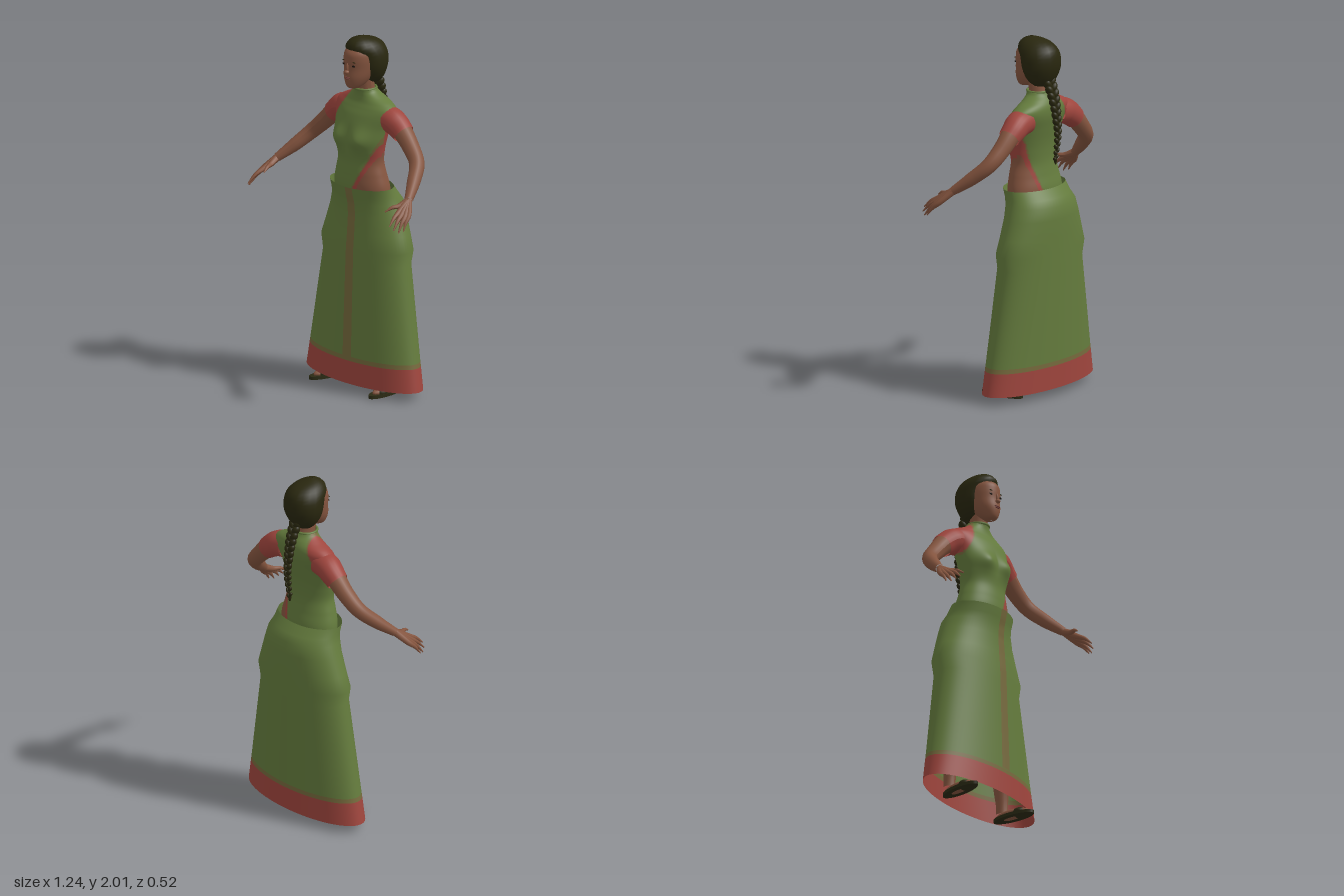
import * as THREE from 'three';

const mat = (name, color, side = THREE.FrontSide) => {
  const m = new THREE.MeshStandardMaterial({ color, side });
  m.name = name;
  return m;
};

// Closed loft through oval rings [y, halfWidth, zFront, zBack], listed bottom to top.
function loft(rings, { seg = 32, rows = 0, warp, paint } = {}) {
  const v = (r, k) => new THREE.Vector3(r[0], r[1], r[k]);
  const front = new THREE.CatmullRomCurve3(rings.map(r => v(r, 2)), false, 'catmullrom', 0.5);
  const back = new THREE.CatmullRomCurve3(rings.map(r => v(r, 3)), false, 'catmullrom', 0.5);
  const n = rows || rings.length - 1;
  const pts = [];
  for (let j = 0; j <= n; j++) {
    const f = front.getPoint(j / n), b = back.getPoint(j / n);
    for (let i = 0; i < seg; i++) {
      const a = i / seg * Math.PI * 2;
      const p = new THREE.Vector3(f.y * Math.sin(a), f.x, (f.z + b.z) / 2 + (f.z - b.z) / 2 * Math.cos(a));
      if (warp) warp(p);
      pts.push(p);
    }
  }
  // Faces are sorted into one bucket per paint index
  const buckets = [[], [], [], []];
  for (let j = 0; j < n; j++) for (let i = 0; i < seg; i++) {
    const a = j * seg + i, b = j * seg + (i + 1) % seg, c = b + seg, d = a + seg;
    const mid = pts[a].clone().add(pts[c]).multiplyScalar(0.5);
    buckets[paint ? paint(mid) : 0].push(a, b, c, a, c, d);
  }
  const g = new THREE.BufferGeometry().setFromPoints(pts);
  g.setIndex(buckets.flat());
  if (paint) {
    let start = 0;
    buckets.forEach((l, k) => { if (l.length) g.addGroup(start, l.length, k); start += l.length; });
  }
  g.computeVertexNormals();
  return g;
}

// Tapered tube through points [x, y, z, radius]; s mirrors it across x.
function limb(points, s = 1, n = 20, seg = 14) {
  const curve = new THREE.CatmullRomCurve3(points.map(p => new THREE.Vector3(p[0] * s, p[1], p[2])));
  const g = new THREE.TubeGeometry(curve, n, 1, seg);
  const pos = g.attributes.position, q = new THREE.Vector3();
  for (let i = 0; i <= n; i++) {
    const c = curve.getPointAt(i / n);
    const t = curve.getUtoTmapping(i / n) * (points.length - 1);
    const k = Math.min(Math.floor(t), points.length - 2);
    const r = THREE.MathUtils.lerp(points[k][3], points[k + 1][3], t - k);
    for (let j = 0; j <= seg; j++) {
      const id = i * (seg + 1) + j;
      q.fromBufferAttribute(pos, id).sub(c).multiplyScalar(r).add(c);
      pos.setXYZ(id, q.x, q.y, q.z);
    }
  }
  g.computeVertexNormals();
  return g;
}

export function createModel() {
  const D = THREE.DoubleSide;
  const green = mat('green cloth', 0x647b3d, D), red = mat('red cloth', 0x9e453d, D);
  const olive = mat('olive trim', 0x75693c, D), skin = mat('skin', 0x85553f);
  const hair = mat('dark hair', 0x29270f, D), sole = mat('dark leather', 0x2b2a14);
  const lip = mat('lips', 0x74403a), eyeDark = mat('eye', 0x1c1510);

  const model = new THREE.Group();
  const add = (name, geo, m, parent = model) => {
    const mesh = new THREE.Mesh(geo, m);
    mesh.name = name;
    parent.add(mesh);
    return mesh;
  };
  const ball = (name, m, p, s, parent) => {
    const b = add(name, new THREE.SphereGeometry(1, 20, 14), m, parent);
    b.position.set(...p);
    b.scale.set(...s);
    return b;
  };

  // Skirt: red hem, olive line and long green body
  const hem = [0.04, 0.435, 0.09, -0.25], hemTop = [0.17, 0.411, 0.086, -0.252], line = [0.195, 0.406, 0.085, -0.252];
  const body = [line, [0.73, 0.31, 0.067, -0.26], [0.81, 0.33, 0.064, -0.261], [0.9, 0.297, 0.056, -0.262],
    [1.0, 0.26, 0.05, -0.263], [1.07, 0.235, 0.055, -0.258], [1.11, 0.219, 0.066, -0.23], [1.16, 0.216, 0.076, -0.19]];
  add('skirtHem', loft([hem, hemTop], { seg: 64 }), red);
  add('skirtTrim', loft([hemTop, line], { seg: 64 }), olive);
  add('skirt', loft(body, { seg: 64 }), green);

  // Front pleat stripe laid on the skirt
  const stripe = new THREE.PlaneGeometry(1, 1, 4, 60), sp = stripe.attributes.position;
  for (let i = 0; i < sp.count; i++) {
    const y = 0.195 + (sp.getY(i) + 0.5) * 0.965;
    const k = Math.max(1, body.findIndex(r => r[0] >= y - 1e-6));
    const t = (y - body[k - 1][0]) / (body[k][0] - body[k - 1][0]);
    const [w, f, b] = [1, 2, 3].map(c => THREE.MathUtils.lerp(body[k - 1][c], body[k][c], t));
    const x = 0.034 + sp.getX(i) * (0.068 - 0.015 * y);
    sp.setXYZ(i, x, y, (f + b) / 2 + (f - b) / 2 * Math.sqrt(1 - (x / w) ** 2) + 0.004);
  }
  stripe.computeVertexNormals();
  add('skirtStripe', stripe, olive);

  // Torso: draped cloth, blouse and bare midriff picked by position
  const torsoRings = [[1.08, 0.19, 0.045, -0.18], [1.16, 0.187, 0.055, -0.175], [1.23, 0.17, 0.052, -0.16],
    [1.3, 0.153, 0.047, -0.15], [1.37, 0.162, 0.053, -0.152], [1.43, 0.175, 0.055, -0.16], [1.5, 0.19, 0.04, -0.175],
    [1.56, 0.212, 0.018, -0.188], [1.6, 0.218, -0.004, -0.19], [1.63, 0.18, -0.02, -0.185],
    [1.657, 0.12, -0.027, -0.172], [1.68, 0.08, -0.028, -0.155], [1.7, 0.064, -0.025, -0.145]];
  const bust = p => {
    if (p.z > -0.04) p.z += 0.03 * Math.exp(-((Math.abs(p.x) - 0.085) ** 2 + (p.y - 1.43) ** 2) / 0.0035);
  };
  const drape = p => {
    const { x, y, z } = p;
    if (x < 0) {
      const d = -x - (0.07 + (1.68 - y) * 0.5);
      return y > 1.44 && d > 0 ? (d < 0.008 ? 2 : 1) : 0;
    }
    const up = Math.max(0, y - 1.42), low = Math.min(y, 1.42) - 1.17;
    const edge = z > -0.06 ? 0.05 + low * 0.5 + up * 0.35 : 0.07 + low * 0.3 + up * 0.5;
    const d = x - edge;
    if (d < -0.008) return 0;
    if (d < 0) return 2;
    return d < 0.022 || y > 1.37 + z * 0.2 ? 1 : 3;
  };
  add('torso', loft(torsoRings, { seg: 160, rows: 120, warp: bust, paint: drape }), [green, red, olive, skin]);
  const collar = add('collar', new THREE.TorusGeometry(0.06, 0.007, 8, 32), green);
  collar.rotation.x = Math.PI / 2;
  collar.position.set(0, 1.698, -0.085);

  // Neck and head
  add('neck', limb([[0, 1.64, -0.09, 0.06], [0, 1.7, -0.085, 0.05], [0, 1.8, -0.065, 0.05]]), skin);
  add('head', loft([[1.712, 0.004, 0.015, 0.005], [1.718, 0.03, 0.038, -0.03], [1.74, 0.052, 0.05, -0.08],
    [1.78, 0.073, 0.055, -0.12], [1.83, 0.085, 0.05, -0.15], [1.88, 0.089, 0.051, -0.16], [1.92, 0.083, 0.043, -0.16],
    [1.96, 0.055, 0.0, -0.12]], { seg: 40, rows: 36 }), skin);
  ball('nose', skin, [0, 1.812, 0.055], [0.014, 0.012, 0.017]);
  ball('noseBridge', skin, [0, 1.835, 0.047], [0.008, 0.03, 0.013]);
  ball('upperLip', lip, [0, 1.782, 0.053], [0.023, 0.004, 0.007]);
  ball('lowerLip', lip, [0, 1.774, 0.052], [0.018, 0.005, 0.008]);
  for (const s of [-1, 1]) {
    ball('eye', eyeDark, [s * 0.037, 1.85, 0.0405], [0.014, 0.006, 0.004]);
    ball('eyebrow', hair, [s * 0.038, 1.872, 0.041], [0.018, 0.0025, 0.003]);
  }

  // Hair cap, then a plait of paired tilted lobes down the back
  add('hair', loft([[1.73, 0.02, -0.1, -0.14], [1.738, 0.062, -0.075, -0.16], [1.77, 0.092, -0.035, -0.185],
    [1.81, 0.109, -0.012, -0.203], [1.85, 0.117, 0.0, -0.212], [1.9, 0.114, 0.012, -0.21], [1.938, 0.1, 0.034, -0.198],
    [1.968, 0.077, 0.025, -0.165], [1.988, 0.045, 0.0, -0.11], [2.0, 0.003, -0.035, -0.045]], { seg: 18, rows: 18 }), hair);
  const braid = new THREE.Group();
  braid.name = 'braid';
  model.add(braid);
  const path = new THREE.CatmullRomCurve3([[1.76, -0.165], [1.68, -0.195], [1.58, -0.215], [1.48, -0.225], [1.34, -0.21]]
    .map(([y, z]) => new THREE.Vector3(0, y, z)));
  for (let i = 0; i < 13; i++) {
    const p = path.getPointAt(i / 12), r = 0.029 * (1 - i / 21);
    for (const s of [-1, 1]) {
      const lobe = ball('braidLobe', hair, [s * r * 0.6, p.y - (s > 0 ? 0.014 : 0), p.z], [r * 0.75, r * 1.15, r * 0.85], braid);
      lobe.rotation.z = -s * 0.55;
    }
  }
  ball('braidTip', hair, [0, 1.325, -0.208], [0.009, 0.03, 0.009], braid);

  // Arms, hands, legs and sandals, mirrored
  const wrist = [0.533, 1.205, 0.085];
  const fingers = [
    ['thumb', [0.52, 1.18, 0.145], [0.49, 1.155, 0.222]],
    ['indexFinger', [0.548, 1.155, 0.175], [0.567, 1.095, 0.26]],
    ['middleFinger', [0.567, 1.145, 0.17], [0.59, 1.075, 0.25]],
    ['ringFinger', [0.583, 1.138, 0.157], [0.605, 1.06, 0.228]],
    ['littleFinger', [0.592, 1.138, 0.14], [0.615, 1.067, 0.2]]];
  for (const s of [-1, 1]) {
    const side = s > 0 ? 'left' : 'right';
    add(side + 'Arm', limb([[0.2, 1.55, -0.11, 0.06], [0.27, 1.5, -0.11, 0.056], [0.34, 1.433, -0.105, 0.049],
      [0.42, 1.355, -0.08, 0.043], [0.48, 1.275, 0.0, 0.037], [...wrist, 0.024]], s, 28), skin);
    add(side + 'Sleeve', limb([[0.14, 1.555, -0.1, 0.075], [0.2, 1.543, -0.105, 0.073], [0.24, 1.52, -0.11, 0.068],
      [0.283, 1.487, -0.11, 0.061]], s, 14, 20), red);
    const hand = new THREE.Group();
    hand.name = side + 'Hand';
    model.add(hand);
    for (const [name, knuckle, tip] of fingers) {
      const mid = knuckle.map((k, i) => (k + tip[i]) / 2 + (i === 1 ? 0.008 : 0));
      add(name, limb([[...wrist, 0.021], [...knuckle, 0.015], [...mid, 0.0105], [...tip, 0.003]], s, 14, 8), skin, hand);
    }

    add(side + 'Leg', limb([[0.13, 0.9, -0.09, 0.085], [0.18, 0.5, -0.09, 0.058], [0.21, 0.3, -0.1, 0.054],
      [0.225, 0.1, -0.1, 0.033], [0.228, 0.04, -0.1, 0.034]], s), skin);
    const foot = new THREE.Group();
    foot.name = side + 'Foot';
    foot.position.set(s * 0.23, 0, -0.02);
    foot.rotation.y = s * 0.1;
    model.add(foot);
    const base = add('sandalSole', new THREE.CylinderGeometry(1, 1, 0.018, 28), sole, foot);
    base.scale.set(0.045, 1, 0.13);
    base.position.y = 0.009;
    ball('footSkin', skin, [0, 0.024, -0.01], [0.036, 0.028, 0.11], foot);
    ball('sandalStrap', sole, [0, 0.022, 0.04], [0.041, 0.029, 0.04], foot);
  }
  return model;
}
